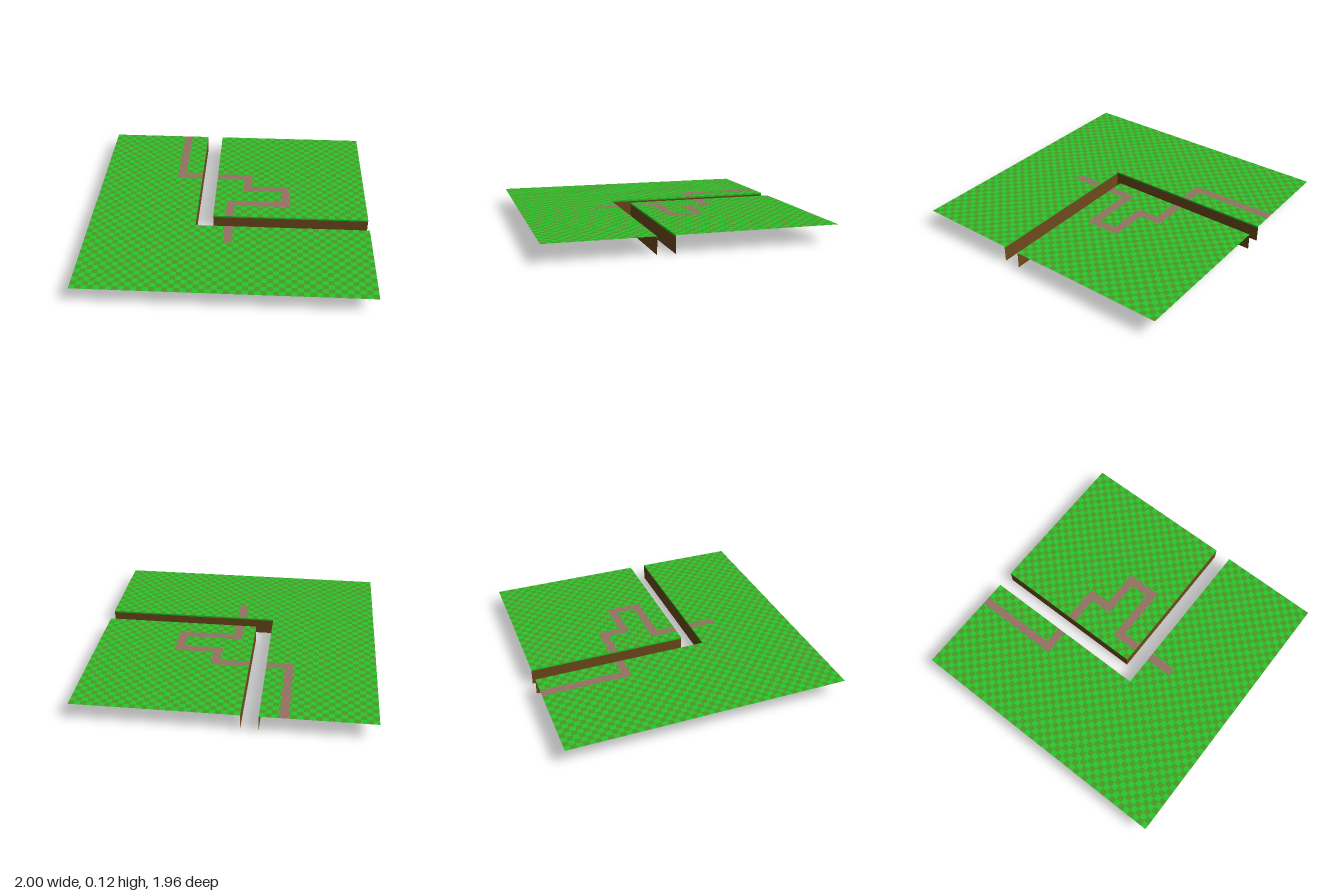
import * as THREE from 'three';
import { mergeGeometries } from 'three/addons/utils/BufferGeometryUtils.js';

const TOP = 0.12, LIP = 0.012, CELL = 0.04;
const X = 1, Z = 0.98; // half extents of the land
const OUTER = { x: -0.24, z: 0.26 }, INNER = { x: -0.12, z: 0.14 }; // banks of the channel

// Centre line of the path, corner by corner
const PATH = [[-0.4, -1.01], [-0.4, -0.38], [0.12, -0.38], [0.12, -0.22],
  [0.4, -0.22], [0.4, -0.025], [0, -0.025], [0, 0.42]];
const HALF = 0.03;

const material = (color) => new THREE.MeshStandardMaterial({ color, side: THREE.DoubleSide });

function inPath(x, z) {
  return PATH.slice(1).some(([bx, bz], i) => {
    const [ax, az] = PATH[i];
    return x > Math.min(ax, bx) - HALF && x < Math.max(ax, bx) + HALF
      && z > Math.min(az, bz) - HALF && z < Math.max(az, bz) + HALF;
  });
}

// Checker lines plus path edges along one axis
function cuts(half, axis) {
  const values = new Set();
  const add = (v) => { if (Math.abs(v) <= half + 1e-6) values.add(Math.round(v * 1000)); };
  for (let v = -half; v <= half + 1e-6; v += CELL) add(v);
  PATH.forEach((p) => { add(p[axis] - HALF); add(p[axis] + HALF); });
  return [...values].sort((a, b) => a - b).map((v) => v / 1000);
}

function flatTile(x0, x1, z0, z1) {
  return new THREE.PlaneGeometry(x1 - x0, z1 - z0).rotateX(-Math.PI / 2)
    .translate((x0 + x1) / 2, TOP, (z0 + z1) / 2);
}

// Land surface on one side of the channel, sorted into grass and path
function land(name, contains, mats) {
  const tiles = { lightGrass: [], darkGrass: [], path: [] };
  const xs = cuts(X, 0), zs = cuts(Z, 1);
  for (let i = 0; i < xs.length - 1; i++) {
    for (let j = 0; j < zs.length - 1; j++) {
      const x = (xs[i] + xs[i + 1]) / 2, z = (zs[j] + zs[j + 1]) / 2;
      if (!contains(x, z)) continue;
      const odd = (Math.floor((x + X) / CELL) + Math.floor((z + Z) / CELL)) % 2;
      const kind = inPath(x, z) ? 'path' : odd ? 'darkGrass' : 'lightGrass';
      tiles[kind].push(flatTile(xs[i], xs[i + 1], zs[j], zs[j + 1]));
    }
  }
  const group = new THREE.Group();
  group.name = name;
  for (const kind in tiles) {
    const mesh = new THREE.Mesh(mergeGeometries(tiles[kind]), mats[kind]);
    mesh.name = kind;
    group.add(mesh);
  }
  return group;
}

// Upright L-shaped strip following one bank
function bankStrip(name, { x, z }, y0, y1, mat) {
  const h = y1 - y0, y = (y0 + y1) / 2;
  const across = new THREE.PlaneGeometry(X - x, h).translate((X + x) / 2, y, z);
  const along = new THREE.PlaneGeometry(z + Z, h).rotateY(Math.PI / 2).translate(x, y, (z - Z) / 2);
  const mesh = new THREE.Mesh(mergeGeometries([across, along]), mat);
  mesh.name = name;
  return mesh;
}

export function createModel() {
  const model = new THREE.Group();
  model.name = 'terrain';
  const mats = {
    lightGrass: material(0x28c82c), darkGrass: material(0x4a9a28), path: material(0x967264),
  };
  const dirt = material(0x6f4a1c);

  model.add(land('outerLand', (x, z) => x < OUTER.x || z > OUTER.z, mats));
  model.add(land('innerLand', (x, z) => x > INNER.x && z < INNER.z, mats));

  // Dirt walls with a grass lip
  for (const [name, bank] of [['outerBank', OUTER], ['innerBank', INNER]]) {
    model.add(bankStrip(name + 'Dirt', bank, 0, TOP - LIP, dirt));
    model.add(bankStrip(name + 'Lip', bank, TOP - LIP, TOP, mats.lightGrass));
  }
  return model;
}
